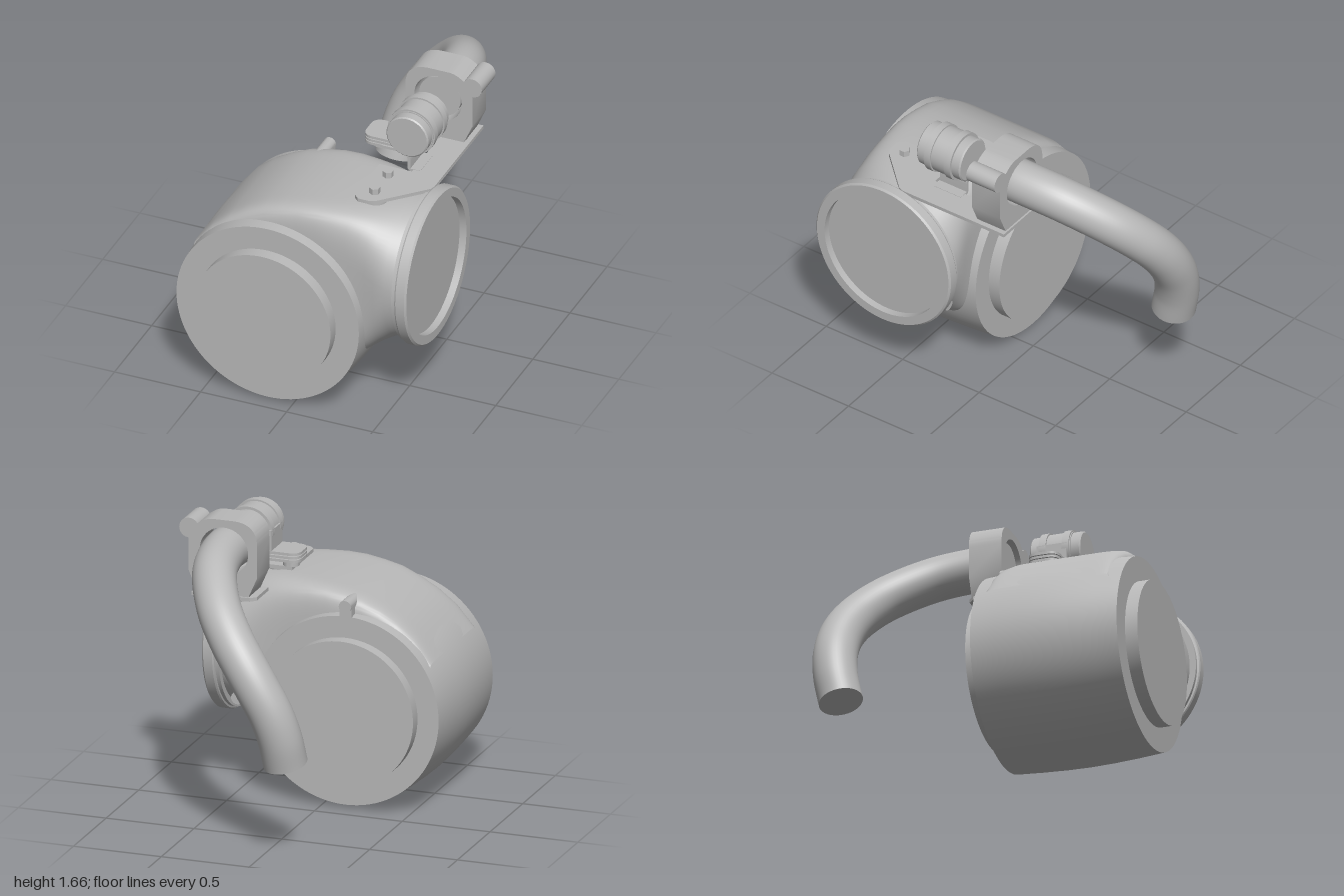
import * as THREE from 'three';
import { toCreasedNormals } from 'three/addons/utils/BufferGeometryUtils.js';

const castGrey = new THREE.MeshStandardMaterial({ color: 0xb8b8b8 });
castGrey.name = 'cast grey';

const V3 = (a) => new THREE.Vector3(...a);
const V2 = (a) => new THREE.Vector2(...a);

export function createModel() {
  const model = new THREE.Group();
  model.name = 'blowerAssembly';

  const add = (name, geometry, pos = [0, 0, 0], crease = 0.5) => {
    const mesh = new THREE.Mesh(toCreasedNormals(geometry, crease), castGrey);
    mesh.name = name;
    mesh.position.set(...pos);
    model.add(mesh);
    return mesh;
  };
  const lathe = (points, segments = 72) => new THREE.LatheGeometry(points.map(V2), segments);
  const box = (name, size, pos) => add(name, new THREE.BoxGeometry(...size), pos);
  // Upright cylinder; six sides give a hex head
  const upright = (name, r, y0, y1, x, z, sides = 32) =>
    add(name, new THREE.CylinderGeometry(r, r, y1 - y0, sides), [x, (y0 + y1) / 2, z]);
  // Cylinder lying along z
  const along = (name, r, z0, z1, x, y, sides = 48) =>
    add(name, new THREE.CylinderGeometry(r, r, z1 - z0, sides).rotateX(Math.PI / 2), [x, y, (z0 + z1) / 2]);
  // Front-plane shape pushed along z
  const pushed = (name, shape, z0, z1) =>
    add(name, new THREE.ExtrudeGeometry(shape, { depth: z1 - z0, bevelEnabled: false, curveSegments: 24 }), [0, 0, z0]);
  // Plan shape drawn in (x, -z), raised along y
  const raised = (name, shape, y0, y1) =>
    add(name, new THREE.ExtrudeGeometry(shape, { depth: y1 - y0, bevelEnabled: false, curveSegments: 16 }).rotateX(-Math.PI / 2), [0, y0, 0]);
  const hole = (shape, x, y, r) => shape.holes.push(new THREE.Path().absarc(x, y, r, 0, Math.PI * 2, true));

  // Barrel housing with a stepped cover at each end
  add('housing', lathe([
    [0, 0.03], [0.41, 0.03], [0.41, 0.1], [0.53, 0.1], [0.54, 0.24], [0.547, 0.38], [0.55, 0.51],
    [0.547, 0.65], [0.54, 0.79], [0.53, 0.93], [0.395, 0.93], [0.395, 1], [0, 1],
  ], 96).rotateX(Math.PI / 2), [-0.14, 0.555, 0]);

  // Volute neck: boxy sections easing into a circle. [x, bottom, top, half width, squareness]
  const sections = [
    [-0.6, 0.7, 0.85, 0.35, 9], [-0.5, 0.6, 0.98, 0.35, 9], [-0.4, 0.5, 1.06, 0.355, 9], [-0.3, 0.4, 1.12, 0.355, 9],
    [-0.2, 0.35, 1.165, 0.36, 9], [-0.1, 0.32, 1.19, 0.36, 9], [0, 0.3, 1.208, 0.36, 9], [0.1, 0.3, 1.217, 0.36, 8],
    [0.2, 0.3, 1.22, 0.36, 6.5], [0.28, 0.3, 1.22, 0.36, 5.5], [0.35, 0.325, 1.216, 0.365, 4.5], [0.4, 0.36, 1.212, 0.37, 3.7],
    [0.45, 0.39, 1.208, 0.38, 3], [0.52, 0.415, 1.2, 0.39, 2.3], [0.59, 0.42, 1.19, 0.39, 2],
  ];
  const ring = 80, vertices = [], faces = [];
  const power = (v, n) => Math.sign(v) * Math.abs(v) ** (2 / n);
  sections.forEach(([x, y0, y1, w, n], i) => {
    for (let j = 0; j < ring; j++) {
      const t = (j / ring) * Math.PI * 2;
      vertices.push(x, (y0 + y1) / 2 + (y1 - y0) / 2 * power(Math.cos(t), n), 0.51 + w * power(Math.sin(t), n));
      if (i + 1 < sections.length) {
        const a = i * ring + j, b = i * ring + (j + 1) % ring;
        faces.push(a, b, a + ring, b, b + ring, a + ring);
      }
    }
  });
  const neck = new THREE.BufferGeometry();
  neck.setAttribute('position', new THREE.Float32BufferAttribute(vertices, 3));
  neck.setIndex(faces);
  add('voluteNeck', neck, [0, 0, 0], 0.7);

  // Outlet flange with a recessed face
  add('outletFlange', lathe([
    [0, 0.58], [0.425, 0.58], [0.425, 0.6], [0.435, 0.602], [0.44, 0.61], [0.44, 0.66], [0.43, 0.67], [0.38, 0.67], [0.38, 0.63], [0, 0.63],
  ], 96).rotateZ(-Math.PI / 2), [0, 0.81, 0.51]);

  // Small bosses on the housing
  along('lugBoss', 0.035, 0.09, 0.24, -0.14, 1.14, 24);
  box('lugRib', [0.07, 0.1, 0.05], [-0.14, 1.09, 0.125]);
  along('drainBoss', 0.035, 0.19, 0.3, 0.51, 0.52, 24);

  // Mounting plate with its bolts
  const plate = new THREE.Shape([
    [0.25, -0.33], [0.25, -0.66], [0.28, -0.69], [0.35, -0.69], [0.38, -0.675], [0.6, -0.45], [0.61, -0.42], [0.61, 0.24],
    [0.28, 0.24], [0.25, 0.21], [0.25, 0.03], [0.41, 0.03], [0.435, 0.02], [0.44, 0], [0.44, -0.33],
  ].map(V2));
  hole(plate, 0.31, 0.19, 0.014);
  hole(plate, 0.57, 0.08, 0.014);
  raised('mountingPlate', plate, 1.226, 1.246);
  for (const z of [0.42, 0.6]) {
    upright('plateBolt', 0.03, 1.24, 1.28, 0.34, z, 6);
    upright('platePad', 0.075, 1.19, 1.228, 0.34, z);
  }
  for (const x of [0.35, 0.5]) {
    upright('clampWasher', 0.045, 1.215, 1.228, x, -0.135);
    upright('clampNut', 0.035, 1.195, 1.22, x, -0.135, 6);
  }

  // Pipe clamp block with a round knuckle
  const block = new THREE.Shape();
  block.moveTo(0.29, 1.246);
  block.lineTo(0.58, 1.246);
  block.lineTo(0.63, 1.36);
  block.lineTo(0.63, 1.6);
  block.lineTo(0.57, 1.635);
  block.quadraticCurveTo(0.53, 1.665, 0.49, 1.665);
  block.lineTo(0.37, 1.665);
  block.quadraticCurveTo(0.24, 1.66, 0.24, 1.53);
  block.lineTo(0.24, 1.36);
  block.closePath();
  hole(block, 0.43, 1.485, 0.138);
  pushed('pipeClamp', block, -0.23, -0.045);
  along('clampKnuckle', 0.056, -0.23, -0.045, 0.628, 1.6, 32);

  // Curved pipe, closed at both ends
  const path = new THREE.CatmullRomCurve3([
    [0.43, 1.485, -0.07], [0.43, 1.485, -0.25], [0.39, 1.445, -0.48], [0.28, 1.325, -0.7], [0.17, 1.2, -0.81],
    [0.08, 1.09, -0.86], [0, 0.975, -0.88], [-0.075, 0.84, -0.876], [-0.12, 0.7, -0.855], [-0.14, 0.55, -0.82],
  ].map(V3));
  add('pipe', new THREE.TubeGeometry(path, 80, 0.12, 40), [0, 0, 0], 0.6);
  for (const [t, sign] of [[0, -1], [1, 1]]) {
    const cap = add('pipeEnd', new THREE.CircleGeometry(0.12, 40), path.getPoint(t).toArray());
    cap.quaternion.setFromUnitVectors(new THREE.Vector3(0, 0, 1), path.getTangent(t).multiplyScalar(sign));
  }

  // Canister held by two bands and a strap
  add('canister', lathe([
    [0, 0.09], [0.115, 0.09], [0.122, 0.097], [0.122, 0.368], [0.115, 0.375], [0, 0.375],
  ]).rotateX(Math.PI / 2), [0.43, 1.485, 0]);
  along('strap', 0.128, 0.15, 0.32, 0.43, 1.485);
  along('rearBand', 0.137, 0.145, 0.185, 0.43, 1.485);
  along('frontBand', 0.137, 0.275, 0.315, 0.43, 1.485);

  // Strap ears, clamped by a bolt at the side
  const ear = new THREE.Shape();
  ear.moveTo(0.31, -0.305);
  ear.lineTo(0.2, -0.305);
  ear.quadraticCurveTo(0.14, -0.305, 0.14, -0.245);
  ear.lineTo(0.14, -0.19);
  ear.quadraticCurveTo(0.14, -0.13, 0.2, -0.13);
  ear.lineTo(0.31, -0.13);
  ear.closePath();
  hole(ear, 0.21, -0.215, 0.025);
  raised('lowerEar', ear, 1.338, 1.353);
  raised('middleEar', ear, 1.358, 1.372);
  raised('upperEar', ear, 1.377, 1.392);
  upright('earBolt', 0.045, 1.3, 1.338, 0.21, 0.215);
  upright('earBoltTip', 0.024, 1.33, 1.38, 0.21, 0.215, 24);
  box('strapTab', [0.016, 0.13, 0.17], [0.302, 1.44, 0.22]);

  // Bent leg carrying the canister on the plate
  const leg = new THREE.Shape();
  leg.moveTo(0.26, 1.353);
  leg.lineTo(0.26, 1.338);
  leg.lineTo(0.37, 1.338);
  leg.quadraticCurveTo(0.405, 1.335, 0.405, 1.3);
  leg.lineTo(0.405, 1.246);
  leg.lineTo(0.42, 1.23);
  leg.lineTo(0.48, 1.23);
  leg.lineTo(0.48, 1.248);
  leg.lineTo(0.422, 1.248);
  leg.lineTo(0.422, 1.3);
  leg.quadraticCurveTo(0.42, 1.353, 0.37, 1.353);
  leg.closePath();
  pushed('canisterLeg', leg, 0.135, 0.31);
  for (const z of [0.185, 0.255]) upright('legNut', 0.028, 1.2, 1.228, 0.45, z, 6);

  return model;
}
